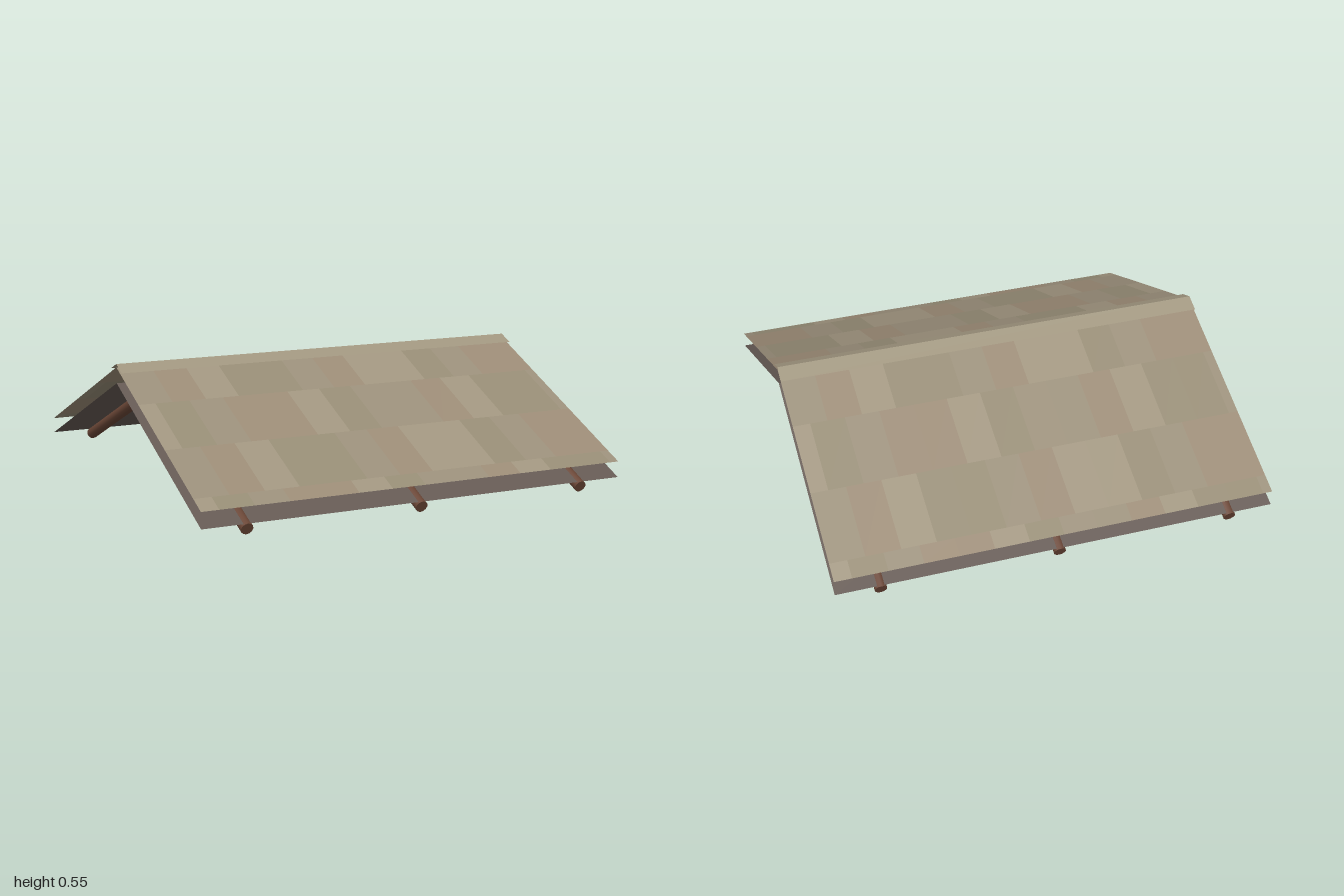
import * as THREE from 'three';
import { mergeGeometries } from 'three/addons/utils/BufferGeometryUtils.js';

const SLOPE = 0.42;   // drop per unit of depth
const HALF = 0.99;    // half width and half depth of the roof

// Thin sloping sheet between x0..x1 and z0..z1, falling away from a ridge height
function slopeSheet(x0, x1, z0, z1, ridgeY) {
  const g = new THREE.PlaneGeometry(x1 - x0, z1 - z0).rotateX(-Math.PI / 2);
  g.translate((x0 + x1) / 2, 0, (z0 + z1) / 2);
  const p = g.attributes.position;
  for (let i = 0; i < p.count; i++) p.setY(i, ridgeY - SLOPE * p.getZ(i));
  g.computeVertexNormals();
  return g;
}

const sheetMaterial = (color) =>
  new THREE.MeshStandardMaterial({ color, side: THREE.DoubleSide });

function addMesh(parent, name, geometry, material) {
  const mesh = new THREE.Mesh(geometry, material);
  mesh.name = name;
  parent.add(mesh);
}

export function createModel() {
  const model = new THREE.Group();
  model.name = 'gableRoof';

  const shades = [0x9a8f7a, 0x968c75, 0xa0957f, 0x9b8b76].map(sheetMaterial);
  const lining = sheetMaterial(0x655a54);
  const cap = sheetMaterial(0xa0967f);
  const wood = new THREE.MeshStandardMaterial({ color: 0x6a4636 });

  for (const side of ['front', 'back']) {
    const half = new THREE.Group();
    half.name = side + 'Slope';
    if (side === 'back') half.rotation.y = Math.PI;
    model.add(half);

    // Shingles: staggered courses in a few close shades
    const courses = [0, 0.28, 0.595, 0.91, HALF];
    const tileWidth = 0.155;
    const tiles = shades.map(() => []);
    for (let row = 0; row < courses.length - 1; row++) {
      const start = -HALF - (row % 2) * tileWidth / 2;
      for (let col = 0; start + col * tileWidth < HALF - 0.001; col++) {
        const x0 = Math.max(-HALF, start + col * tileWidth);
        const x1 = Math.min(HALF, start + (col + 1) * tileWidth);
        tiles[(col * 3 + row * 2 + (col >> 2)) % shades.length]
          .push(slopeSheet(x0, x1, courses[row], courses[row + 1], 0.537));
      }
    }
    tiles.forEach((list, i) => addMesh(half, 'shingles' + (i + 1), mergeGeometries(list), shades[i]));

    // Lower lining sheet and this half of the ridge cap
    addMesh(half, 'lining', slopeSheet(-HALF, HALF, 0, HALF, 0.466), lining);
    addMesh(half, 'ridgeCap', slopeSheet(-HALF, HALF, 0, 0.072, 0.552), cap);

    // Round rafters under the lining
    const top = new THREE.Vector3(0, 0.443, 0);
    const foot = new THREE.Vector3(0, 0.028, 0.988);
    const direction = foot.clone().sub(top);
    for (const x of [-0.793, 0, 0.793]) {
      const g = new THREE.CylinderGeometry(0.027, 0.027, direction.length(), 12);
      g.rotateX(Math.atan2(direction.z, direction.y));
      g.translate(x, (top.y + foot.y) / 2, foot.z / 2);
      addMesh(half, 'rafter', g, wood);
    }
  }
  return model;
}
